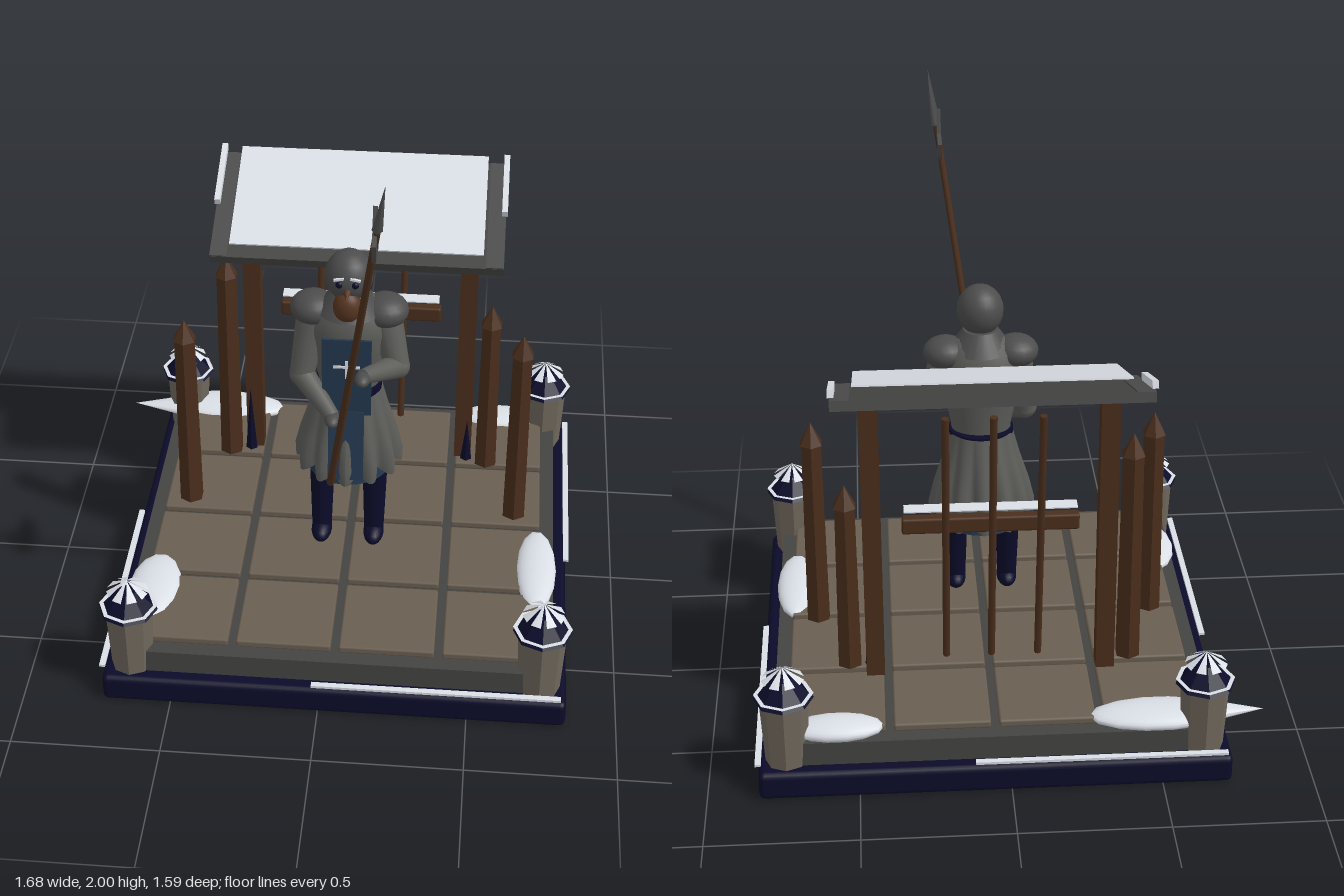
import * as THREE from 'three';
import { RoundedBoxGeometry } from 'three/addons/geometries/RoundedBoxGeometry.js';

const mat = (name, color) => {
  const m = new THREE.MeshStandardMaterial({ color });
  m.name = name;
  return m;
};
const V = (x, y, z) => new THREE.Vector3(x, y, z);

export function createModel() {
  const root = new THREE.Group();
  const navy = mat('navy', 0x0b0b2a), stone = mat('dark stone', 0x444443), tile = mat('floor tile', 0x6a5e51),
    pillar = mat('pillar stone', 0x6f675c), wood = mat('wood', 0x4a2e1c), snow = mat('snow', 0xdadfe6),
    steel = mat('steel', 0x4c4c4c), cloth = mat('grey cloth', 0x5c5c59), blue = mat('blue cloth', 0x24384f),
    beardBrown = mat('beard brown', 0x573520);
  snow.side = steel.side = cloth.side = blue.side = THREE.DoubleSide;

  // Helpers
  const flat = g => {
    const n = g.index ? g.toNonIndexed() : g;
    n.computeVertexNormals();
    return n;
  };
  const add = (parent, name, geo, m, x = 0, y = 0, z = 0) => {
    const mesh = new THREE.Mesh(geo, m);
    mesh.name = name;
    mesh.position.set(x, y, z);
    parent.add(mesh);
    return mesh;
  };
  const box = (p, name, m, w, h, d, x, y, z) => add(p, name, new THREE.BoxGeometry(w, h, d), m, x, y, z);
  const ball = (p, name, m, rx, ry, rz, x, y, z, seg = 20) => {
    const s = add(p, name, new THREE.SphereGeometry(1, seg, 12), m, x, y, z);
    s.scale.set(rx, ry, rz);
    return s;
  };
  const rod = (p, name, m, a, b, r0, r1 = r0, sides = 8) => {
    const d = b.clone().sub(a);
    const s = add(p, name, new THREE.CylinderGeometry(r1, r0, d.length(), sides), m);
    s.position.copy(a).add(b).multiplyScalar(0.5);
    s.quaternion.setFromUnitVectors(V(0, 1, 0), d.normalize());
    return s;
  };
  const group = name => {
    const g = new THREE.Group();
    g.name = name;
    root.add(g);
    return g;
  };
  const CX = 0.05;

  // Plinth and paved floor
  const base = group('base');
  add(base, 'plinth', new RoundedBoxGeometry(1.56, 0.1, 1.56, 2, 0.02), navy, CX, 0.05, 0);
  box(base, 'step', stone, 1.46, 0.085, 1.46, CX, 0.1425, 0);
  for (let i = 0; i < 4; i++) for (let j = 0; j < 4; j++)
    add(base, 'floorTile', new RoundedBoxGeometry(0.32, 0.028, 0.32, 1, 0.008), tile,
      CX + (i - 1.5) * 0.347, 0.198, (j - 1.5) * 0.347);

  // Corner pillars with snow-ribbed caps
  for (const sx of [-1, 1]) for (const sz of [-1, 1]) {
    const p = group('cornerPillar');
    p.position.set(CX + sx * 0.688, 0, sz * 0.688);
    add(p, 'shaft', flat(new THREE.CylinderGeometry(0.082, 0.07, 0.245, 8)), pillar, 0, 0.2225, 0);
    add(p, 'cap', flat(new THREE.CylinderGeometry(0.03, 0.098, 0.075, 8)), navy, 0, 0.3775, 0);
    const rim = add(p, 'snowRim', new THREE.RingGeometry(0.082, 0.098, 8), snow, 0, 0.356, 0);
    rim.rotation.x = -Math.PI / 2;
    for (let k = 0; k < 8; k++) {
      const rib = add(p, 'snowRib', new THREE.ConeGeometry(0.07, 0.045, 1, 1, true,
        k * Math.PI / 4 + 0.14, Math.PI / 4 - 0.28), snow, 0, 0.4375, 0);
      rib.name = 'snowRib' + k;
    }
  }

  // Snow ledges and drifts
  const drifts = group('snow');
  box(drifts, 'frontLedge', snow, 0.83, 0.009, 0.02, 0.395, 0.127, 0.78);
  box(drifts, 'backLedge', snow, 0.83, 0.009, 0.02, -0.295, 0.127, -0.785);
  box(drifts, 'leftLedge', snow, 0.02, 0.009, 0.83, 0.83, 0.127, -0.345);
  box(drifts, 'rightLedge', snow, 0.02, 0.009, 0.83, -0.73, 0.127, 0.335);
  for (const [x, z, rx, rz] of [[-0.6, 0.42, 0.09, 0.17], [0.72, 0.22, 0.07, 0.21], [0.57, -0.67, 0.155, 0.07], [-0.49, -0.66, 0.23, 0.085]])
    ball(drifts, 'drift', snow, rx, 0.034, rz, x, 0.203, z, 14);
  const tip = add(drifts, 'driftPoint', new THREE.ConeGeometry(0.075, 0.25, 12), snow, -0.72, 0.2, -0.65);
  tip.rotation.z = Math.PI / 2;
  tip.scale.x = 0.42;

  // Pointed hexagonal stakes
  for (const [x, z, top] of [[-0.535, -0.048, 1.01], [0.635, -0.048, 1.01], [-0.425, -0.345, 1.09], [0.525, -0.345, 0.93]]) {
    const s = group('stake');
    s.position.set(x, 0, z);
    const h = top - 0.08 - 0.24;
    add(s, 'trunk', flat(new THREE.CylinderGeometry(0.038, 0.044, h, 6)), wood, 0, 0.24 + h / 2, 0);
    add(s, 'point', flat(new THREE.ConeGeometry(0.042, 0.08, 6)), wood, 0, top - 0.04, 0);
  }

  // Lean-to shelter
  const shelter = group('shelter');
  for (const s of [-1, 1]) {
    box(shelter, 'post', wood, 0.062, 1.01, 0.065, CX + s * 0.388, 0.745, -0.398);
    add(shelter, 'postFoot', flat(new THREE.ConeGeometry(0.022, s < 0 ? 0.27 : 0.17, 5)), navy,
      CX + s * 0.402, s < 0 ? 0.375 : 0.325, -0.36);
  }
  const roof = new THREE.Group();
  roof.name = 'roof';
  roof.position.set(CX, 1.268, -0.385);
  roof.rotation.x = 0.35;
  shelter.add(roof);
  box(roof, 'roofBoard', stone, 1.01, 0.033, 0.47, 0, 0, 0);
  for (const s of [-1, 1]) {
    box(roof, 'edgeBoard', steel, 0.06, 0.006, 0.468, s * 0.474, 0.018, 0);
    box(roof, 'snowEdge', snow, 0.02, 0.025, 0.26, s * 0.5, 0.04, -0.118);
  }
  box(roof, 'roofSnow', snow, 0.87, 0.006, 0.44, 0, 0.06, -0.008);
  add(shelter, 'rail', new RoundedBoxGeometry(0.58, 0.056, 0.04, 2, 0.008), wood, CX, 0.828, -0.44);
  box(shelter, 'railSnow', snow, 0.565, 0.004, 0.05, CX, 0.886, -0.44);
  for (const x of [-0.105, 0.05, 0.2])
    rod(shelter, 'leaningPole', wood, V(x, 0.34, -0.47), V(x, 1.3, -0.615), 0.012);

  // Guard: legs and boots
  const guard = group('guard');
  for (const s of [-1, 1]) {
    const x = CX + s * 0.092;
    rod(guard, 'leg', navy, V(x, 0.28, 0.13), V(x, 0.62, 0.1), 0.034, 0.046, 16);
    ball(guard, 'boot', navy, 0.036, 0.035, 0.07, x, 0.277, 0.138);
  }

  // Pleated skirt with a blue lining
  const skirt = new THREE.LatheGeometry([[0.165, 0.6], [0.168, 0.62], [0.155, 0.7], [0.13, 0.8], [0.108, 0.9]]
    .map(p => new THREE.Vector2(...p)), 96);
  const pos = skirt.attributes.position;
  for (let i = 0; i < pos.count; i++) {
    const x = pos.getX(i), y = pos.getY(i), z = pos.getZ(i);
    const flare = (0.9 - y) / 0.3;
    const lobe = Math.abs(Math.cos(Math.atan2(z, x) * 6));
    const k = 1 + flare * (0.26 * lobe - 0.14);
    pos.setXYZ(i, x * k, y - 0.035 * lobe * flare * (y < 0.61 ? 1 : 0), z * k * 0.95);
  }
  skirt.computeVertexNormals();
  add(guard, 'skirt', skirt, cloth, CX, 0, 0.09);
  add(guard, 'lining', new THREE.CylinderGeometry(0.1, 0.145, 0.32, 24, 1, true), blue, CX, 0.71, 0.09);

  // Torso, belt, tabard
  const torso = add(guard, 'torso', new THREE.LatheGeometry(
    [[0.1, 0.86], [0.104, 0.92], [0.125, 1.03], [0.14, 1.12], [0.125, 1.2], [0.07, 1.25], [0, 1.27]]
      .map(p => new THREE.Vector2(...p)), 32), cloth, CX, 0, 0.1);
  torso.scale.z = 0.76;
  const belt = add(guard, 'belt', new THREE.CylinderGeometry(0.112, 0.112, 0.026, 32), navy, CX, 0.892, 0.095);
  belt.scale.z = 0.92;
  box(guard, 'tabard', blue, 0.165, 0.3, 0.009, CX, 0.985, 0.21);
  box(guard, 'tabardSkirt', blue, 0.12, 0.26, 0.009, CX, 0.72, 0.235).rotation.x = -0.16;
  box(guard, 'emblemBar', snow, 0.09, 0.009, 0.004, CX, 1.03, 0.217);
  box(guard, 'emblemStem', snow, 0.009, 0.07, 0.004, CX, 1.02, 0.217);

  // Arms: shoulder, elbow, hand
  const arms = [[V(-0.07, 1.17, 0.1), V(-0.105, 0.95, 0.15), V(0.01, 0.87, 0.28)],
    [V(0.17, 1.17, 0.1), V(0.215, 1.0, 0.15), V(0.11, 1.055, 0.3)]];
  for (const [a, b, c] of arms) {
    ball(guard, 'shoulderPad', steel, 0.078, 0.055, 0.078, a.x, 1.19, a.z);
    rod(guard, 'upperArm', cloth, a, b, 0.056, 0.042, 16);
    ball(guard, 'elbow', cloth, 0.043, 0.043, 0.043, b.x, b.y, b.z);
    rod(guard, 'forearm', cloth, b, c, 0.042, 0.025, 16);
    ball(guard, 'hand', steel, 0.026, 0.022, 0.04, c.x, c.y, c.z + 0.015);
  }

  // Head: hood, helmet, beard, face
  add(guard, 'collar', new THREE.CylinderGeometry(0.06, 0.11, 0.07, 24), steel, CX, 1.235, 0.11);
  ball(guard, 'helmet', steel, 0.08, 0.088, 0.085, CX, 1.335, 0.122, 28);
  ball(guard, 'beard', beardBrown, 0.048, 0.058, 0.042, CX, 1.25, 0.185);
  const nose = add(guard, 'nose', new THREE.ConeGeometry(0.018, 0.06, 10), beardBrown, CX, 1.315, 0.215);
  nose.rotation.x = Math.PI / 2 + 0.15;
  for (const s of [-1, 1]) {
    ball(guard, 'eye', navy, 0.012, 0.012, 0.009, CX + s * 0.026, 1.342, 0.2);
    box(guard, 'brow', snow, 0.034, 0.007, 0.009, CX + s * 0.027, 1.363, 0.2).rotation.z = -s * 0.2;
  }

  // Halberd
  const halberd = group('halberd');
  const foot = V(0, 0.575, 0.26), end = V(0.198, 2, 0.685);
  const neck = foot.clone().lerp(end, 0.87);
  rod(halberd, 'shaft', wood, foot, neck, 0.013, 0.011);
  rod(halberd, 'spike', steel, neck, end, 0.017, 0, 4);
  const outline = [[-0.675, 1.785], [-0.635, 1.8], [-0.605, 1.885], [-0.585, 1.8], [-0.48, 1.795], [-0.5, 1.745], [-0.56, 1.71], [-0.65, 1.715]];
  const blade = add(halberd, 'blade', flat(new THREE.ExtrudeGeometry(
    new THREE.Shape(outline.map(p => new THREE.Vector2(...p))), { depth: 0.014, bevelEnabled: false })), steel, 0.158, 0, 0);
  blade.rotation.y = Math.PI / 2;

  return root;
}
